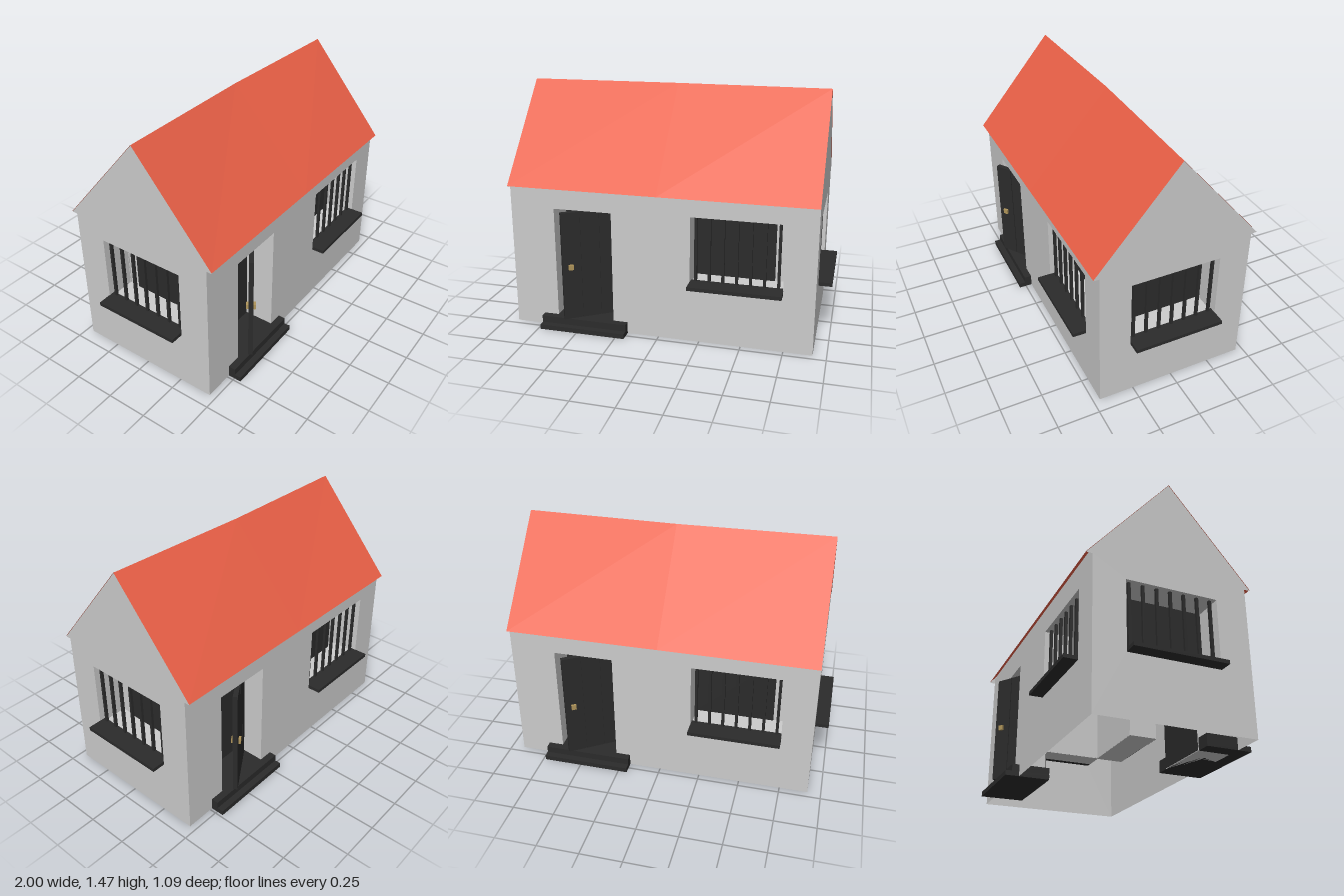
import * as THREE from 'three';

const grey = new THREE.MeshStandardMaterial({ color: 0xcccccc, side: THREE.DoubleSide });
const dark = new THREE.MeshStandardMaterial({ color: 0x2b2b2b });
const orange = new THREE.MeshStandardMaterial({ color: 0xe85f46, side: THREE.DoubleSide });
const brass = new THREE.MeshStandardMaterial({ color: 0xb0955a });

const HALF_X = 0.92, HALF_Z = 0.46, EAVE = 0.89, RECESS = 0.19;
const WINDOW = { half: 0.272, bottom: 0.36, top: 0.776 };
const DOOR = { left: -0.645, right: -0.285, top: 0.76 };

function mesh(name, geometry, material, parent) {
  const m = new THREE.Mesh(geometry, material);
  m.name = name;
  parent.add(m);
  return m;
}

function box(name, w, h, d, x, y, z, material, parent) {
  const m = mesh(name, new THREE.BoxGeometry(w, h, d), material, parent);
  m.position.set(x, y, z);
  return m;
}

const vectors = (pts) => pts.map(([x, y]) => new THREE.Vector2(x, y));
const rect = (x0, y0, x1, y1) => vectors([[x0, y0], [x0, y1], [x1, y1], [x1, y0]]);

// Thin wall sheet at z = face with a window hole
function wall(name, outline, face, windowX, parent) {
  const shape = new THREE.Shape(vectors(outline));
  shape.holes.push(new THREE.Path(
    rect(windowX - WINDOW.half, WINDOW.bottom, windowX + WINDOW.half, WINDOW.top)));
  mesh(name, new THREE.ShapeGeometry(shape), grey, parent).position.z = face;
}

// Shallow niche behind an opening: four thin sides and a back
function recess(name, x0, y0, x1, y1, face, parent) {
  const t = 0.003;
  const shape = new THREE.Shape(rect(x0 - t, y0 - t, x1 + t, y1 + t));
  shape.holes.push(new THREE.Path(rect(x0, y0, x1, y1)));
  const sides = new THREE.ExtrudeGeometry(shape, { depth: RECESS, bevelEnabled: false });
  mesh(name + 'Sides', sides, grey, parent).position.z = face - RECESS - 0.001;
  box(name + 'Back', x1 - x0, y1 - y0, t, (x0 + x1) / 2, (y0 + y1) / 2, face - RECESS, grey, parent);
}

// Niche, dark inner panel, sill and vertical bars
function windowParts(x, face, panelShift, parent) {
  const g = new THREE.Group();
  g.name = 'window';
  g.position.set(x, 0, face);
  parent.add(g);
  const { half, bottom, top } = WINDOW;
  recess('windowNiche', -half, bottom, half, top, 0, g);
  box('windowPanel', 0.476, top - bottom, 0.006, panelShift, (top + bottom) / 2, 0.006 - RECESS, dark, g);
  box('windowSill', 0.546, 0.022, 0.12, 0, 0.368, 0.02, dark, g);
  for (let i = -3; i <= 3; i++) {
    box('windowBar', 0.016, 0.4, 0.016, i * 0.081, 0.576, -0.03, dark, g);
  }
}

// Door standing ajar, hinged at its +x edge
function door(parent) {
  const g = new THREE.Group();
  g.name = 'door';
  g.position.set(-0.3, 0, 0.318);
  g.rotation.y = 0.59;
  parent.add(g);
  for (let i = 0; i < 3; i++) {
    box('doorPlank', 0.11, 0.68, 0.028, -0.056 - i * 0.116, 0.413, 0, dark, g);
  }
  box('doorCore', 0.342, 0.68, 0.016, -0.172, 0.413, 0, dark, g);
  box('handle', 0.03, 0.032, 0.055, -0.292, 0.41, 0, brass, g);
}

export function createModel() {
  const house = new THREE.Group();
  house.name = 'house';

  for (const angle of [0, Math.PI]) {
    // Long side with door, steps and window
    const long = new THREE.Group();
    long.name = 'longSide';
    long.rotation.y = angle;
    house.add(long);
    wall('longWall', [[-HALF_X, 0], [DOOR.left, 0], [DOOR.left, DOOR.top], [DOOR.right, DOOR.top],
      [DOOR.right, 0], [HALF_X, 0], [HALF_X, 0.925], [-HALF_X, 0.925]], HALF_Z, 0.464, long);
    windowParts(0.464, HALF_Z, -0.034, long);
    recess('doorNiche', DOOR.left, 0.003, DOOR.right, DOOR.top, HALF_Z, long);
    box('doorPanel', 0.36, 0.755, 0.01, -0.465, 0.381, HALF_Z - RECESS, dark, long);
    door(long);
    box('lowerStep', 0.54, 0.03, 0.272, -0.465, 0.015, 0.407, dark, long);
    box('upperStep', 0.54, 0.042, 0.232, -0.465, 0.051, 0.388, dark, long);

    // Gable end with window
    const end = new THREE.Group();
    end.name = 'gableEnd';
    end.rotation.y = angle + Math.PI / 2;
    house.add(end);
    const apex = angle ? 0.006 : -0.006;
    wall('gableWall', [[-HALF_Z, 0], [HALF_Z, 0], [HALF_Z, EAVE - 0.005], [0.493, EAVE - 0.005],
      [0.493, EAVE], [apex, 1.466], [-0.493, EAVE], [-0.493, EAVE - 0.005], [-HALF_Z, EAVE - 0.005]],
      HALF_X, 0, end);
    windowParts(0, HALF_X, 0.034, end);
  }

  // Roof sheet folded along a ridge that bows slightly towards the back
  const sheet = new THREE.PlaneGeometry(HALF_X * 2 + 0.004, 0.99, 2, 2).rotateX(-Math.PI / 2);
  const p = sheet.attributes.position;
  for (let i = 0; i < p.count; i++) {
    const ridge = Math.abs(p.getZ(i)) < 0.1;
    p.setY(i, ridge ? 1.468 : EAVE);
    if (ridge) p.setZ(i, Math.abs(p.getX(i)) < 0.1 ? -0.014 : 0.006);
  }
  const folded = sheet.toNonIndexed();
  folded.computeVertexNormals();
  mesh('roof', folded, orange, house);

  return house;
}
